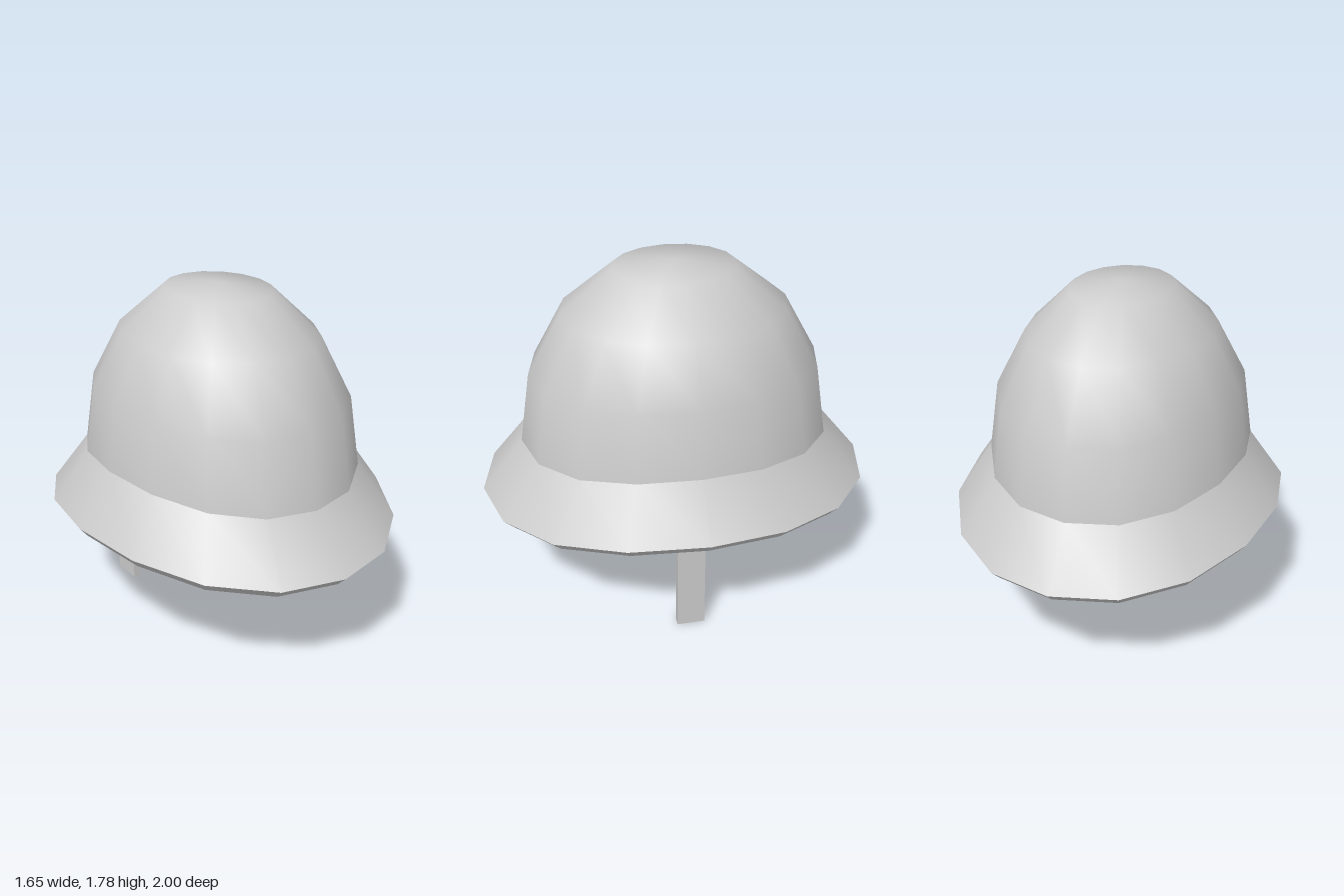
import * as THREE from 'three';
import { mergeVertices } from 'three/addons/utils/BufferGeometryUtils.js';

const SIDES = 16;
const material = new THREE.MeshStandardMaterial({ color: 0xcccccc });

// Ring: [half width, half depth, height at front/back, extra height at the sides]
const OUTER_JOINT = [0.65, 0.787, 0.868, 0.077];
const OUTER_EDGE = [0.826, 1.0, 0.602, 0.083];
const INNER_EDGE = [0.787, 0.95, 0.552, 0.084];
const INNER_JOINT = [0.39, 0.475, 1.14, 0.08];

// Skin of elliptical rings whose sides are lifted into a gentle saddle
function skin(name, rings) {
  const positions = [];
  const index = [];
  rings.forEach(([width, depth, y, lift], r) => {
    for (let i = 0; i < SIDES; i++) {
      const a = (i / SIDES) * Math.PI * 2;
      const s = Math.sin(a);
      positions.push(width * s, y + lift * Math.abs(s) ** 3, depth * Math.cos(a));
      if (r === 0) continue;
      const next = (i + 1) % SIDES;
      const top = (r - 1) * SIDES;
      const low = r * SIDES;
      index.push(top + i, low + i, low + next, top + i, low + next, top + next);
    }
  });
  let geometry = new THREE.BufferGeometry();
  geometry.setAttribute('position', new THREE.Float32BufferAttribute(positions, 3));
  geometry.setIndex(index);
  geometry = mergeVertices(geometry);
  geometry.computeVertexNormals();
  const mesh = new THREE.Mesh(geometry, material);
  mesh.name = name;
  return mesh;
}

// Flat hanging strap between two heights
function strap(name, x, bottom) {
  const top = 0.79;
  const mesh = new THREE.Mesh(new THREE.BoxGeometry(0.04, top - bottom, 0.14), material);
  mesh.position.set(x, (top + bottom) / 2, 0.03);
  mesh.name = name;
  return mesh;
}

export function createModel() {
  const helmet = new THREE.Group();
  helmet.name = 'helmet';

  // Outer shell
  helmet.add(skin('crown', [
    [0, 0, 1.78, 0],
    [0.25, 0.303, 1.754, 0],
    [0.463, 0.56, 1.546, 0],
    [0.602, 0.73, 1.235, 0.05],
    OUTER_JOINT,
  ]));
  helmet.add(skin('brim', [OUTER_JOINT, OUTER_EDGE]));
  helmet.add(skin('brimLip', [OUTER_EDGE, INNER_EDGE]));

  // Lining: a cone parallel to the brim, closed by a small steep dome
  helmet.add(skin('innerCone', [INNER_EDGE, INNER_JOINT]));
  helmet.add(skin('innerDome', [
    INNER_JOINT,
    [0.36, 0.435, 1.38, 0.03],
    [0.275, 0.333, 1.56, 0],
    [0.15, 0.18, 1.68, 0],
    [0, 0, 1.7, 0],
  ]));

  // Chin straps, the left one longer
  helmet.add(strap('leftStrap', 0.539, 0));
  helmet.add(strap('rightStrap', -0.57, 0.383));
  return helmet;
}
